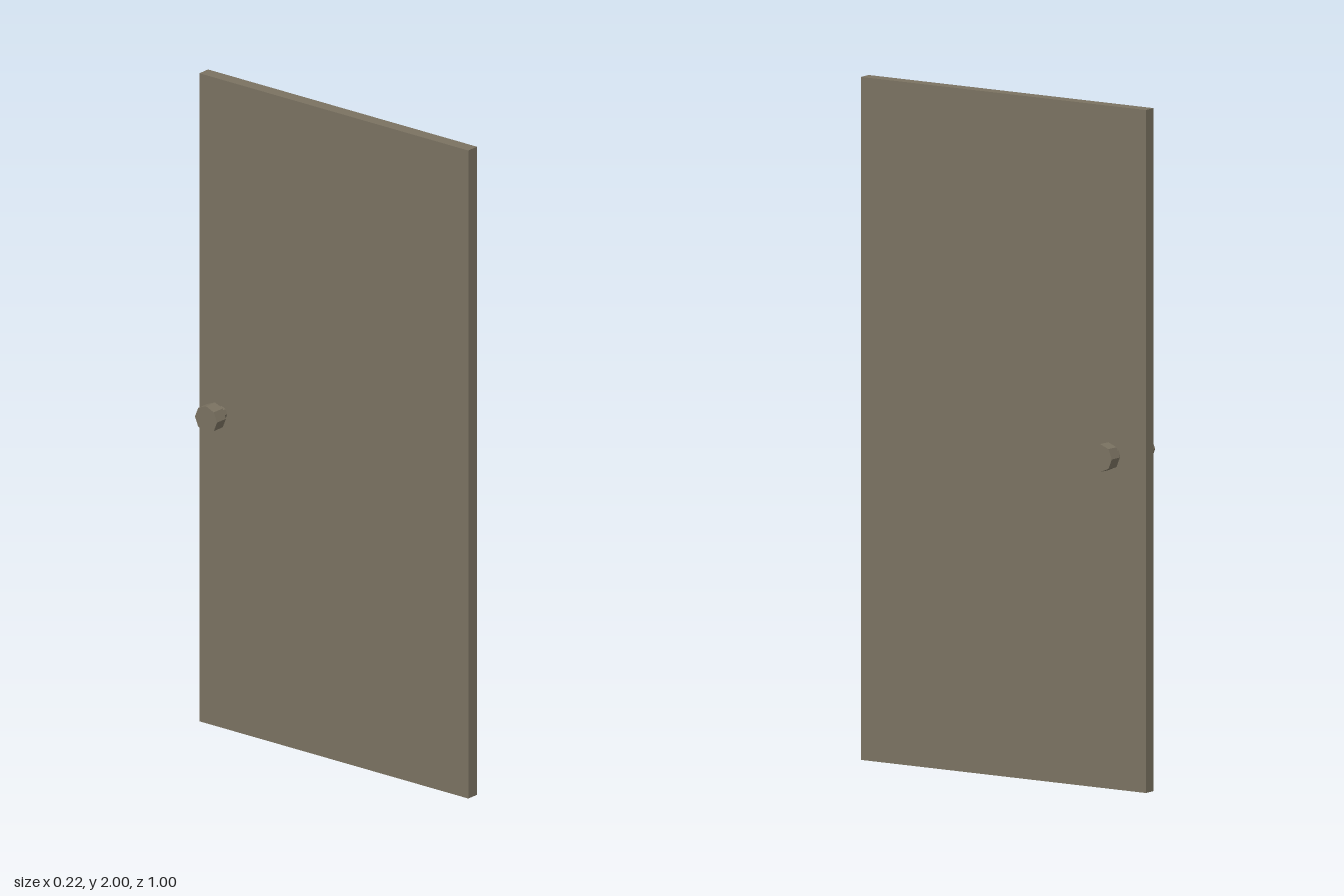
import * as THREE from 'three';

export function createModel() {
  const group = new THREE.Group();
  const wood = new THREE.MeshStandardMaterial({ color: 0x7a7261 });
  wood.name = 'doorBrown';
  wood.flatShading = true;

  // Door panel
  const panel = new THREE.Mesh(new THREE.BoxGeometry(0.04, 2, 1), wood);
  panel.name = 'doorPanel';
  panel.position.set(0.004, 1, 0);
  group.add(panel);

  // Eight-sided cylinder lying along x between x0 and x1
  const rod = (name, radius, x0, x1) => {
    const geometry = new THREE.CylinderGeometry(radius, radius, Math.abs(x1 - x0), 8);
    geometry.rotateZ(Math.PI / 2);
    const mesh = new THREE.Mesh(geometry, wood);
    mesh.name = name;
    mesh.position.x = (x0 + x1) / 2;
    return mesh;
  };

  // A handle on each face: narrow stem, wide knob
  for (const [name, side] of [['leftHandle', 1], ['rightHandle', -1]]) {
    const handle = new THREE.Group();
    handle.name = name;
    handle.position.set(0, 0.983, -0.399);
    handle.add(rod('stem', 0.0205, side * 0.038, side * 0.069));
    handle.add(rod('knob', 0.041, side * 0.069, side * 0.11));
    group.add(handle);
  }
  return group;
}
